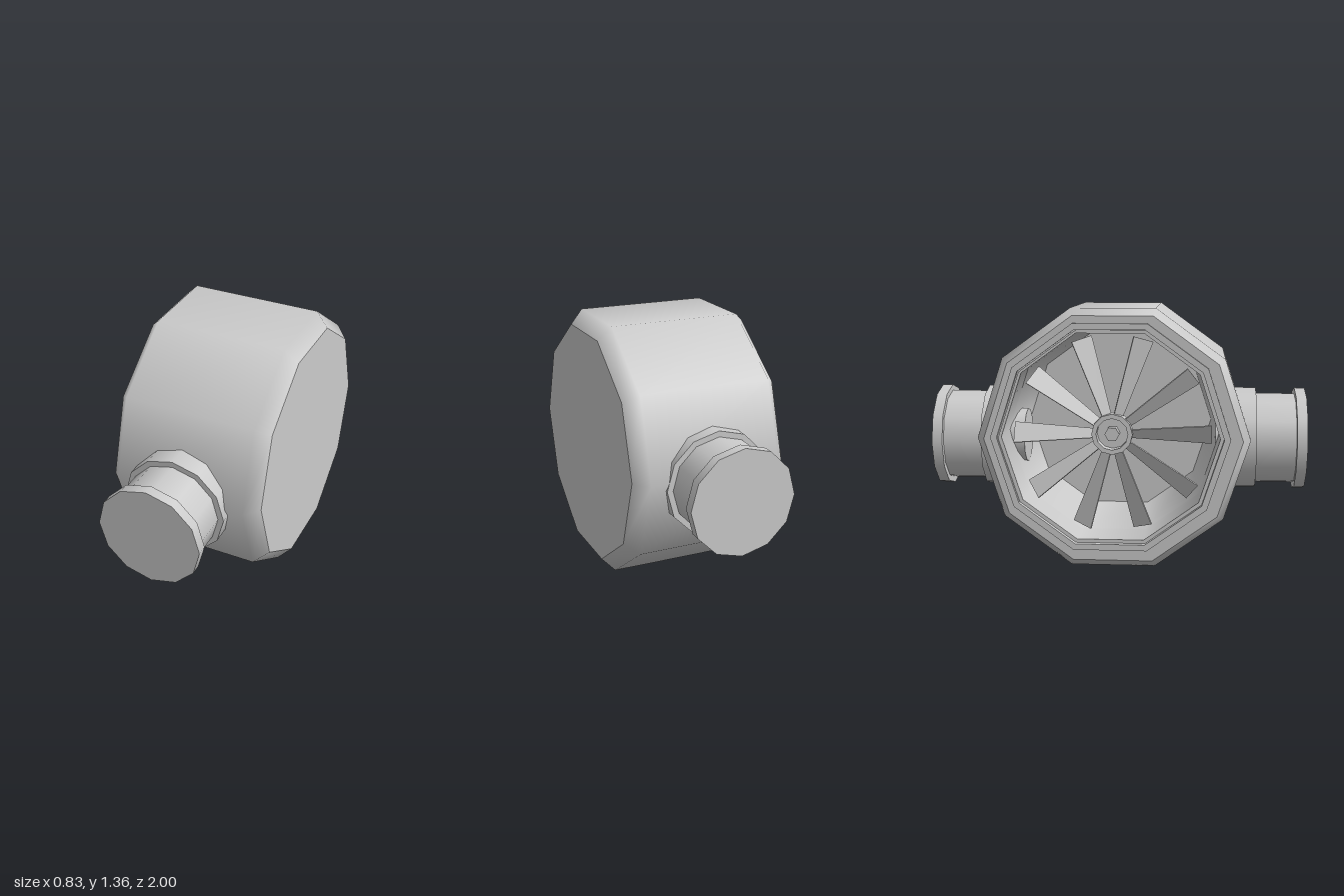
import * as THREE from 'three';

const mat = new THREE.MeshStandardMaterial({ color: 0xcccccc, side: THREE.DoubleSide });

function add(parent, name, geometry) {
  const mesh = new THREE.Mesh(geometry, mat);
  mesh.name = name;
  parent.add(mesh);
  return mesh;
}

// Revolve [x, radius] points around the x axis
function turned(parent, name, profile, sides = 10) {
  const pts = profile.map(([x, r]) => new THREE.Vector2(r, x));
  return add(parent, name, new THREE.LatheGeometry(pts, sides).rotateZ(-Math.PI / 2));
}

// Revolve every segment on its own, so the steps stay sharp
function stepped(parent, name, profile, sides) {
  const g = new THREE.Group();
  g.name = name;
  for (let i = 0; i < profile.length - 1; i++) {
    turned(g, name + 'Face', [profile[i], profile[i + 1]], sides);
  }
  parent.add(g);
  return g;
}

export function createModel() {
  const model = new THREE.Group();

  // Ten-sided housing with bevelled edges and a flat closed end
  const housing = new THREE.Group();
  housing.name = 'housing';
  housing.position.set(0, 0.683, -0.017);
  model.add(housing);
  turned(housing, 'shell', [[-0.4, 0.677], [-0.36, 0.717], [0.345, 0.717], [0.415, 0.641]]);
  turned(housing, 'closedEnd', [[0.415, 0.641], [0.415, 0]]);
  turned(housing, 'openEndFace', [[-0.4, 0.6], [-0.4, 0.677]]);

  // Raised rim around the opening and the cavity behind it
  const opening = new THREE.Group();
  opening.name = 'opening';
  opening.position.set(0, 0.693, -0.03);
  model.add(opening);
  stepped(opening, 'rim', [[-0.4, 0.626], [-0.42, 0.626], [-0.42, 0.592], [-0.39, 0.592], [-0.39, 0.572]]);
  stepped(opening, 'cavity', [[-0.39, 0.572], [-0.17, 0.572], [0.3, 0.53], [0.3, 0]]);

  // Fan: hollow hub, centre nut and ten pitched blades
  const fan = new THREE.Group();
  fan.name = 'fan';
  fan.position.set(-0.24, 0.693, -0.03);
  model.add(fan);
  stepped(fan, 'hub', [[0.04, 0.11], [-0.04, 0.11], [-0.04, 0.085], [0.02, 0.085], [0.02, 0]], 12);
  const nut = add(fan, 'nut', new THREE.CylinderGeometry(0.04, 0.04, 0.06, 6).rotateZ(Math.PI / 2));
  nut.position.x = -0.005;

  const blade = new THREE.BoxGeometry(0.008, 0.43, 0.12);
  const p = blade.attributes.position;
  for (let i = 0; i < p.count; i++) {
    if (p.getY(i) < 0) p.setZ(i, p.getZ(i) * 0.45);
  }
  blade.computeVertexNormals();
  blade.rotateY(Math.PI / 6).translate(0, 0.315, 0);
  for (let i = 0; i < 10; i++) {
    add(fan, 'blade', blade).rotation.x = Math.PI / 2 + (i * Math.PI) / 5;
  }

  // Pipe stubs front and back: collar, neck, end flange, inner port
  for (const side of [1, -1]) {
    const pipe = new THREE.Group();
    pipe.name = side > 0 ? 'frontPipe' : 'backPipe';
    pipe.position.set(-0.017, 0.642, 0);
    model.add(pipe);
    const parts = [
      ['innerPort', 0.15, 0.52, 0.64],
      ['collar', 0.278, 0.62, 0.735],
      ['neck', 0.247, 0.62, 0.96],
      ['endFlange', 0.278, 0.945, 1],
    ];
    for (const [name, r, z0, z1] of parts) {
      const g = new THREE.CylinderGeometry(r, r, z1 - z0, 12).rotateX(Math.PI / 2);
      add(pipe, name, g).position.z = (side * (z0 + z1)) / 2;
    }
  }
  return model;
}
